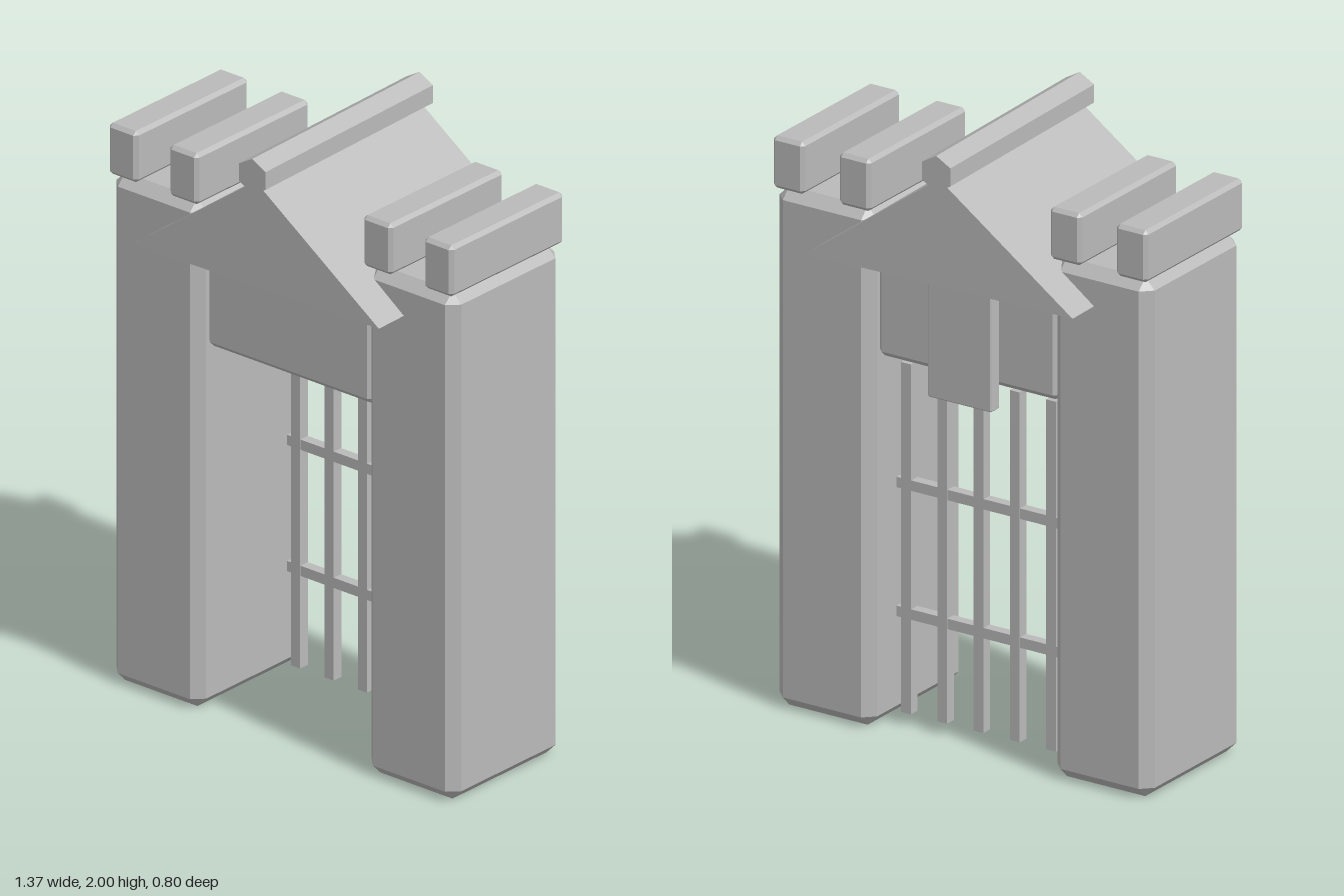
import * as THREE from 'three';
import { ConvexGeometry } from 'three/addons/geometries/ConvexGeometry.js';

const stone = new THREE.MeshStandardMaterial({ color: 0xbababa });
stone.name = 'stone grey';

function add(parent, name, geometry, x, y, z) {
  const mesh = new THREE.Mesh(geometry, stone);
  mesh.name = name;
  mesh.position.set(x, y, z);
  parent.add(mesh);
  return mesh;
}

// Box with flat chamfers on every edge
function chamferBox(w, h, d, c) {
  const points = [];
  for (const sx of [-1, 1]) for (const sy of [-1, 1]) for (const sz of [-1, 1]) {
    const x = sx * w / 2, y = sy * h / 2, z = sz * d / 2;
    points.push(
      new THREE.Vector3(x, y - sy * c, z - sz * c),
      new THREE.Vector3(x - sx * c, y, z - sz * c),
      new THREE.Vector3(x - sx * c, y - sy * c, z));
  }
  return new ConvexGeometry(points);
}

export function createModel() {
  const model = new THREE.Group();
  model.name = 'gatehouse';

  // Twin towers, each with two long battlement blocks
  for (const [side, label] of [[1, 'left'], [-1, 'right']]) {
    const tower = new THREE.Group();
    tower.name = label + 'Tower';
    add(tower, 'towerBody', chamferBox(0.356, 1.69, 0.506, 0.035), side * 0.507, 0.845, 0);
    for (const x of [0.385, 0.627]) {
      add(tower, 'battlement', chamferBox(0.115, 0.17, 0.524, 0.012), side * x, 1.775, 0);
    }
    model.add(tower);
  }

  // Lintel across the gateway and the plaque on its back
  add(model, 'lintel', chamferBox(0.66, 0.36, 0.44, 0.018), 0, 1.39, 0);
  add(model, 'backPlaque', chamferBox(0.234, 0.38, 0.045, 0.004), 0, 1.33, -0.2385);

  // Portcullis grille
  const portcullis = new THREE.Group();
  portcullis.name = 'portcullis';
  for (let i = -2; i <= 2; i++) {
    add(portcullis, 'uprightBar', new THREE.BoxGeometry(0.036, 1.14, 0.036), i * 0.1325, 0.61, -0.14);
  }
  for (const y of [0.365, 0.785]) {
    add(portcullis, 'crossBar', new THREE.BoxGeometry(0.6, 0.034, 0.034), 0, y, -0.14);
  }
  model.add(portcullis);

  // Gabled roof with a hexagonal ridge beam, turned very slightly
  const roof = new THREE.Group();
  roof.name = 'roof';
  const gable = new THREE.Shape([
    new THREE.Vector2(-0.48, 0), new THREE.Vector2(0.48, 0), new THREE.Vector2(0, 0.35)]);
  add(roof, 'gable', new THREE.ExtrudeGeometry(gable, { depth: 0.77, bevelEnabled: false }), 0, 1.57, -0.385);
  const hexagon = new THREE.Shape();
  for (let i = 0; i < 6; i++) {
    const a = Math.PI / 6 + i * Math.PI / 3;
    hexagon[i ? 'lineTo' : 'moveTo'](0.059 * Math.cos(a), 0.059 * Math.sin(a));
  }
  add(roof, 'ridgeBeam', new THREE.ExtrudeGeometry(hexagon, { depth: 0.8, bevelEnabled: false }), 0, 1.941, -0.4);
  roof.rotation.y = 0.026;
  model.add(roof);

  return model;
}
